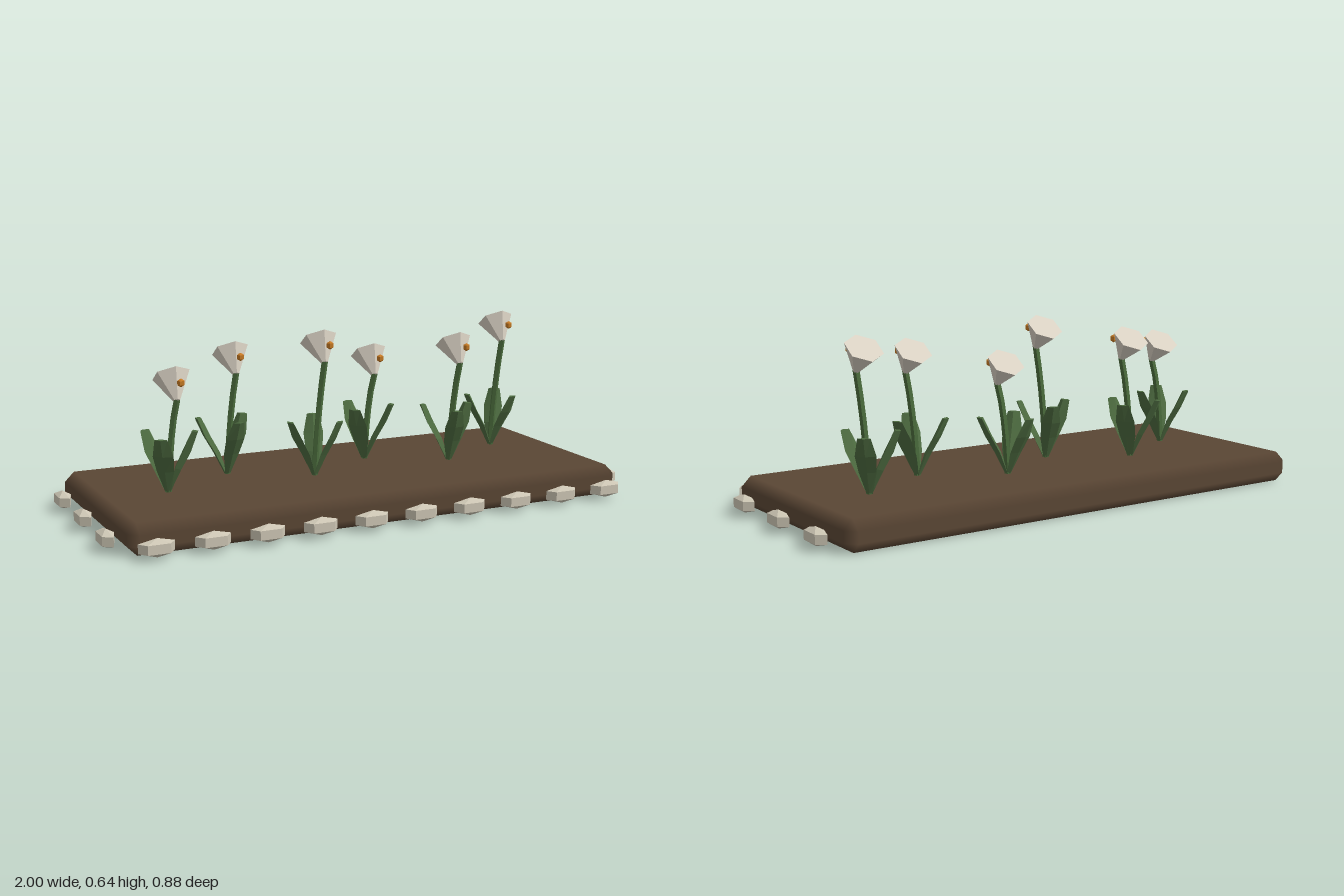
import * as THREE from 'three';
import { ConvexGeometry } from 'three/addons/geometries/ConvexGeometry.js';

const paint = (name, color) => {
  const m = new THREE.MeshStandardMaterial({ color });
  m.name = name;
  return m;
};
const soil = paint('soil brown', 0x5a4634);
const stone = paint('pale stone', 0xcdc6b4);
const stemGreen = paint('stem green', 0x4a6b3c);
const leafGreen = paint('leaf green', 0x4d6b40);
const petal = paint('petal white', 0xd9d1c3);
const orange = paint('anther orange', 0xc67a24);

// Faceted copy of a geometry
function facet(geometry) {
  const g = geometry.index ? geometry.toNonIndexed() : geometry;
  g.computeVertexNormals();
  return g;
}

function add(parent, name, geometry, material, x = 0, y = 0, z = 0) {
  const mesh = new THREE.Mesh(geometry, material);
  mesh.name = name;
  mesh.position.set(x, y, z);
  parent.add(mesh);
  return mesh;
}

// Box with one soft chamfer step on every edge; each point keeps its face's normal
function chamferedBox(w, h, d, b) {
  const half = [w / 2, h / 2, d / 2];
  const points = [];
  for (const sx of [-1, 1]) for (const sy of [-1, 1]) for (const sz of [-1, 1])
    for (let axis = 0; axis < 3; axis++) {
      const p = [sx, sy, sz].map((s, k) => s * (half[k] - (k === axis ? 0 : b)));
      points.push(new THREE.Vector3(...p));
    }
  const g = new ConvexGeometry(points);
  const pos = g.attributes.position, nor = g.attributes.normal;
  for (let i = 0; i < pos.count; i++) {
    const p = [pos.getX(i), pos.getY(i), pos.getZ(i)];
    nor.setXYZ(i, ...p.map((v, k) => (half[k] - Math.abs(v) < 1e-4 ? Math.sign(v) : 0)));
  }
  return g;
}

// Leaf leaning towards +x: diamond cross-sections [height, reach, half width, half depth]
function leafGeometry() {
  const rings = [
    [0.11, 0.004, 0.010, 0.006],
    [0.19, 0.038, 0.030, 0.012],
    [0.25, 0.072, 0.036, 0.013],
    [0.315, 0.102, 0.022, 0.012],
  ];
  const verts = [], index = [];
  for (const [y, r, w, t] of rings)
    verts.push(r + t, y, 0, r, y, w, r - t, y, 0, r, y, -w);
  for (let i = 0; i < rings.length - 1; i++)
    for (let j = 0; j < 4; j++) {
      const a = i * 4 + j, b = i * 4 + (j + 1) % 4;
      index.push(a, a + 4, b, b, a + 4, b + 4);
    }
  const e = (rings.length - 1) * 4;
  index.push(e, e + 2, e + 1, e, e + 3, e + 2);
  const g = new THREE.BufferGeometry();
  g.setAttribute('position', new THREE.Float32BufferAttribute(verts, 3));
  g.setIndex(index);
  return facet(g);
}

export function createModel() {
  const model = new THREE.Group();
  model.name = 'flowerBed';

  // Soil bed
  add(model, 'soilBed', chamferedBox(1.88, 0.11, 0.815, 0.035), soil, 0, 0.055, -0.031);

  // Edging stones, flat side facing outwards
  const stoneGeo = facet(new THREE.SphereGeometry(1, 5, 3).scale(0.033, 0.032, 0.075));
  for (let i = 0; i < 10; i++)
    add(model, 'frontStone', stoneGeo, stone, -0.86 + i * 0.191, 0.041, 0.414).rotation.y = -Math.PI / 2;
  for (const z of [0.238, -0.027, -0.293]) {
    add(model, 'leftStone', stoneGeo, stone, 0.977, 0.041, z);
    add(model, 'rightStone', stoneGeo, stone, -0.977, 0.041, z).rotation.y = Math.PI;
  }

  // Flowers in two staggered rows, three stem heights
  const leafGeo = leafGeometry();
  const headGeo = facet(new THREE.CylinderGeometry(0.067, 0.012, 0.098, 6).translate(0, 0.049, 0));
  const antherGeo = facet(new THREE.SphereGeometry(0.015, 6, 3));
  for (let i = 0; i < 6; i++) {
    const flower = new THREE.Group();
    flower.name = 'flower';
    flower.position.set(-0.687 + i * 0.277, 0, i % 2 ? -0.139 : 0.017);
    model.add(flower);

    const top = 0.431 + (i % 3) * 0.045;
    const path = new THREE.QuadraticBezierCurve3(
      new THREE.Vector3(0, 0.1, 0),
      new THREE.Vector3(0.012, 0.33, -0.004),
      new THREE.Vector3(0.032, top + 0.005, 0.02));
    add(flower, 'stem', facet(new THREE.TubeGeometry(path, 5, 0.012, 5)), stemGreen);
    add(flower, 'petals', headGeo, petal, 0.032, top, 0.02).rotation.x = -0.61;
    add(flower, 'anther', antherGeo, orange, 0.032, top + 0.069, 0.066);
    for (let k = 0; k < 3; k++)
      add(flower, 'leaf', leafGeo, leafGreen).rotation.y = i * 0.6 + k * Math.PI * 2 / 3;
  }
  return model;
}
